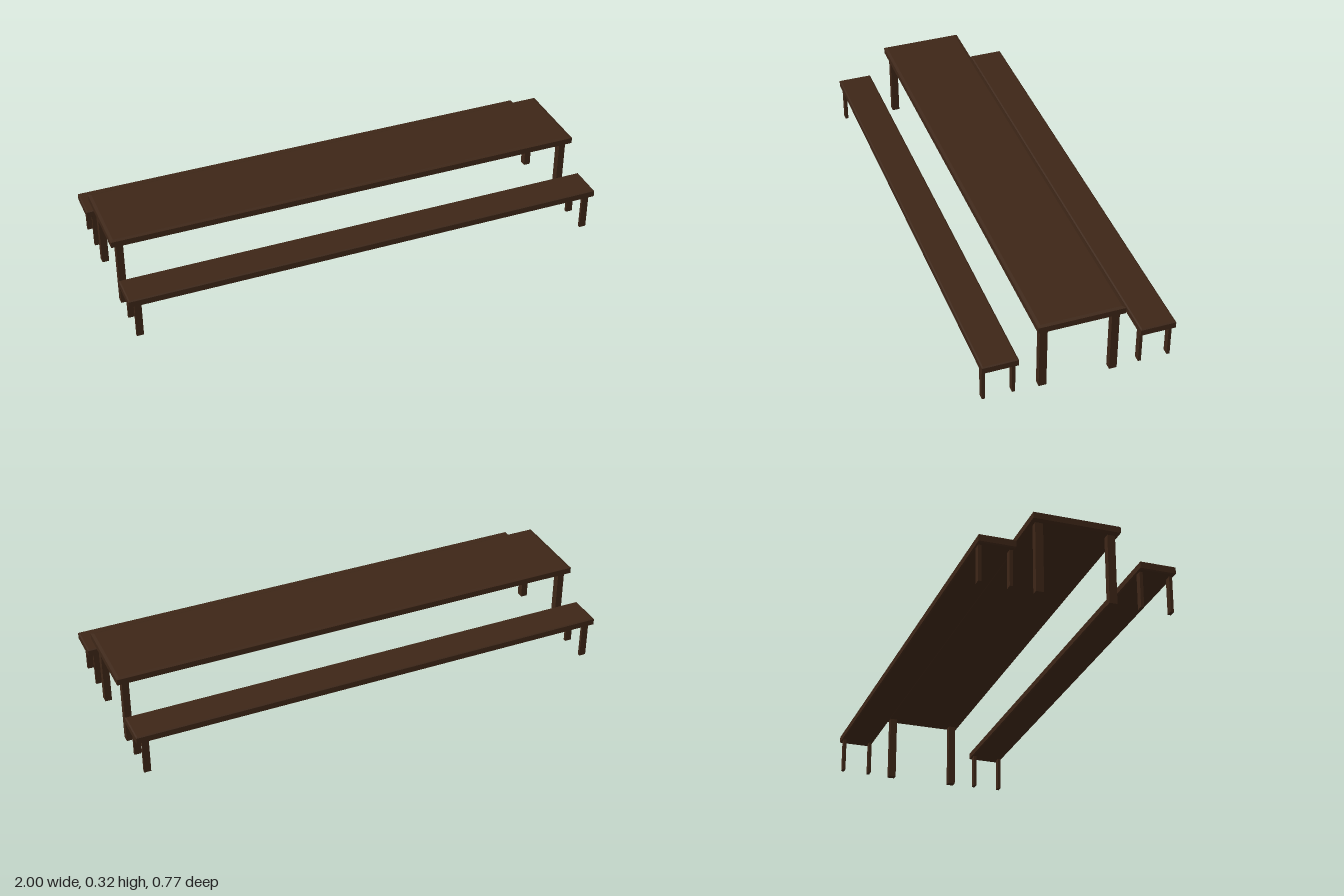
import * as THREE from 'three';

const wood = new THREE.MeshStandardMaterial({ color: 0x3d2617, flatShading: true });

// Long plank whose top and bottom faces are slightly inset from the rim
function plank(name, depth, bottom, top, lip, inset) {
  const h = top - bottom;
  const geo = new THREE.BoxGeometry(2, h, depth, 1, 3, 1);
  const p = geo.attributes.position;
  for (let i = 0; i < p.count; i++) {
    const y = p.getY(i);
    if (Math.abs(y) > h / 2 - 1e-4) {
      p.setX(i, Math.sign(p.getX(i)) * (1 - inset));
      p.setZ(i, Math.sign(p.getZ(i)) * (depth / 2 - inset));
    } else {
      p.setY(i, Math.sign(y) * (h / 2 - lip));
    }
  }
  const mesh = new THREE.Mesh(geo, wood);
  mesh.name = name;
  mesh.position.y = (top + bottom) / 2;
  return mesh;
}

// Plank on four square-cut corner legs
function trestle(name, o) {
  const group = new THREE.Group();
  group.name = name;
  group.add(plank(name + 'Top', o.depth, o.bottom, o.top, 0.004, o.inset));
  const legHeight = o.bottom + 0.006 - o.foot;
  const geo = new THREE.BoxGeometry(0.028, legHeight, o.legDepth);
  for (const sx of [-1, 1]) {
    for (const sz of [-1, 1]) {
      const leg = new THREE.Mesh(geo, wood);
      leg.name = name + 'Leg';
      leg.position.set(sx * 0.964, o.foot + legHeight / 2, sz * o.legZ);
      group.add(leg);
    }
  }
  group.position.z = o.z;
  return group;
}

export function createModel() {
  const model = new THREE.Group();
  model.name = 'tableWithBenches';
  model.add(trestle('table', {
    depth: 0.345, bottom: 0.283, top: 0.316, inset: 0.012,
    legDepth: 0.031, legZ: 0.1425, foot: 0, z: -0.002,
  }));
  const bench = {
    depth: 0.143, bottom: 0.15, top: 0.183, inset: 0.005,
    legDepth: 0.0125, legZ: 0.0595, foot: 0.004,
  };
  model.add(trestle('frontBench', { ...bench, z: 0.315 }));
  model.add(trestle('backBench', { ...bench, z: -0.313 }));
  return model;
}
